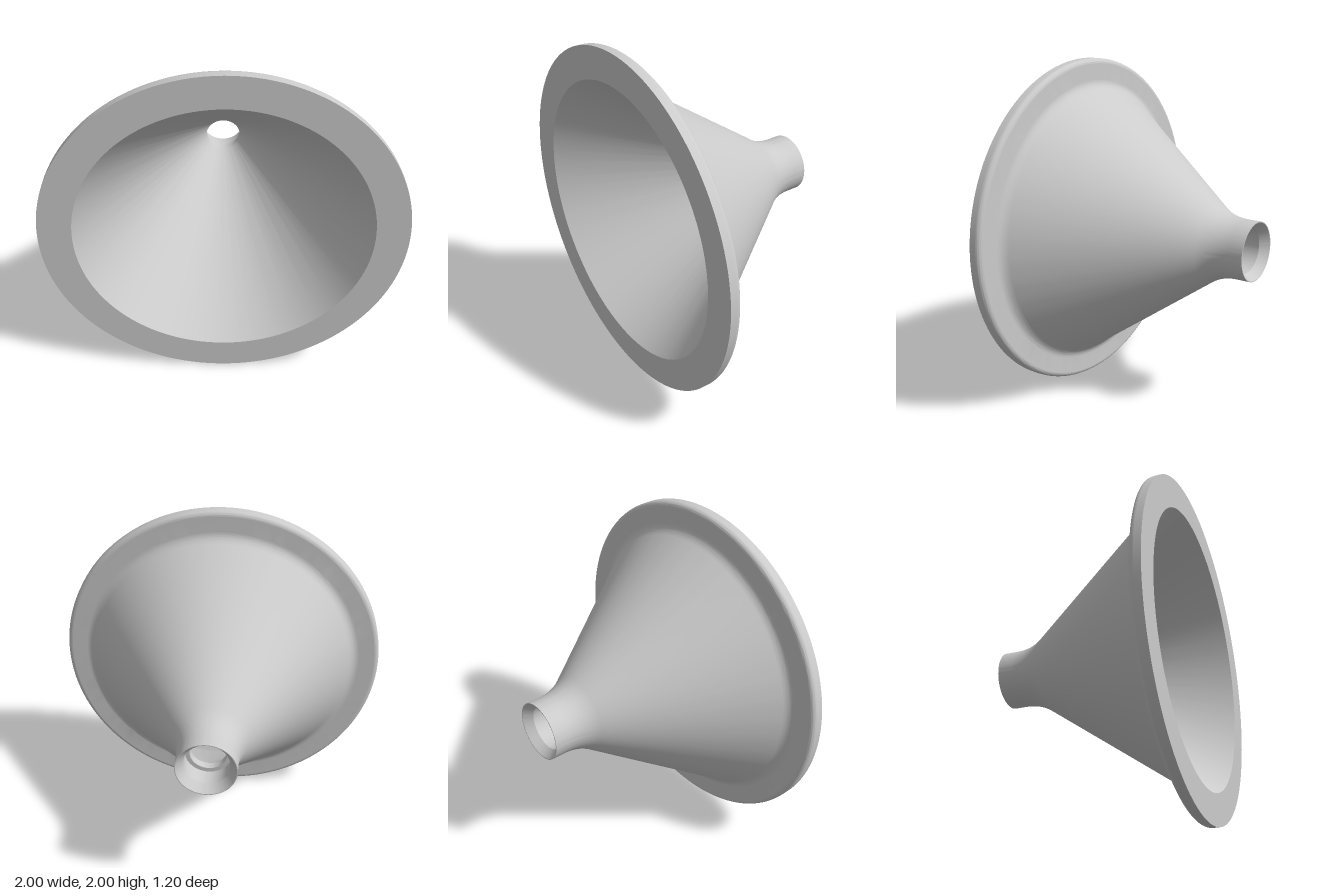
import * as THREE from 'three';
import { toCreasedNormals } from 'three/addons/utils/BufferGeometryUtils.js';

export function createModel() {
  const group = new THREE.Group();
  group.name = 'funnel';

  // Closed wall section: x is the radius, y the position along the axis
  const section = new THREE.Path();
  section.moveTo(0.172, -0.6);
  // Outside: neck, flare, cone and flange
  section.lineTo(0.172, -0.52);
  section.quadraticCurveTo(0.172, -0.412, 0.23, -0.33);
  section.lineTo(0.81, 0.49);
  section.quadraticCurveTo(0.838, 0.53, 0.875, 0.53);
  section.lineTo(0.97, 0.53);
  section.absarc(0.97, 0.56, 0.03, -Math.PI / 2, 0, false);
  section.lineTo(1, 0.6);
  // Inside: flat front rim, cone, narrow hole, stepped bore and chamfer
  section.lineTo(0.815, 0.6);
  section.lineTo(0.105, -0.404);
  section.lineTo(0.105, -0.45);
  section.lineTo(0.13, -0.45);
  section.lineTo(0.13, -0.55);
  section.lineTo(0.167, -0.6);
  section.lineTo(0.172, -0.6);

  const lathe = new THREE.LatheGeometry(section.getPoints(12), 128);
  lathe.rotateX(Math.PI / 2); // axis along z, wide end to the front
  const body = new THREE.Mesh(
    toCreasedNormals(lathe, 0.4),
    new THREE.MeshStandardMaterial({ color: 0xcccccc })
  );
  body.name = 'funnelBody';
  body.position.y = 1;
  group.add(body);
  return group;
}
